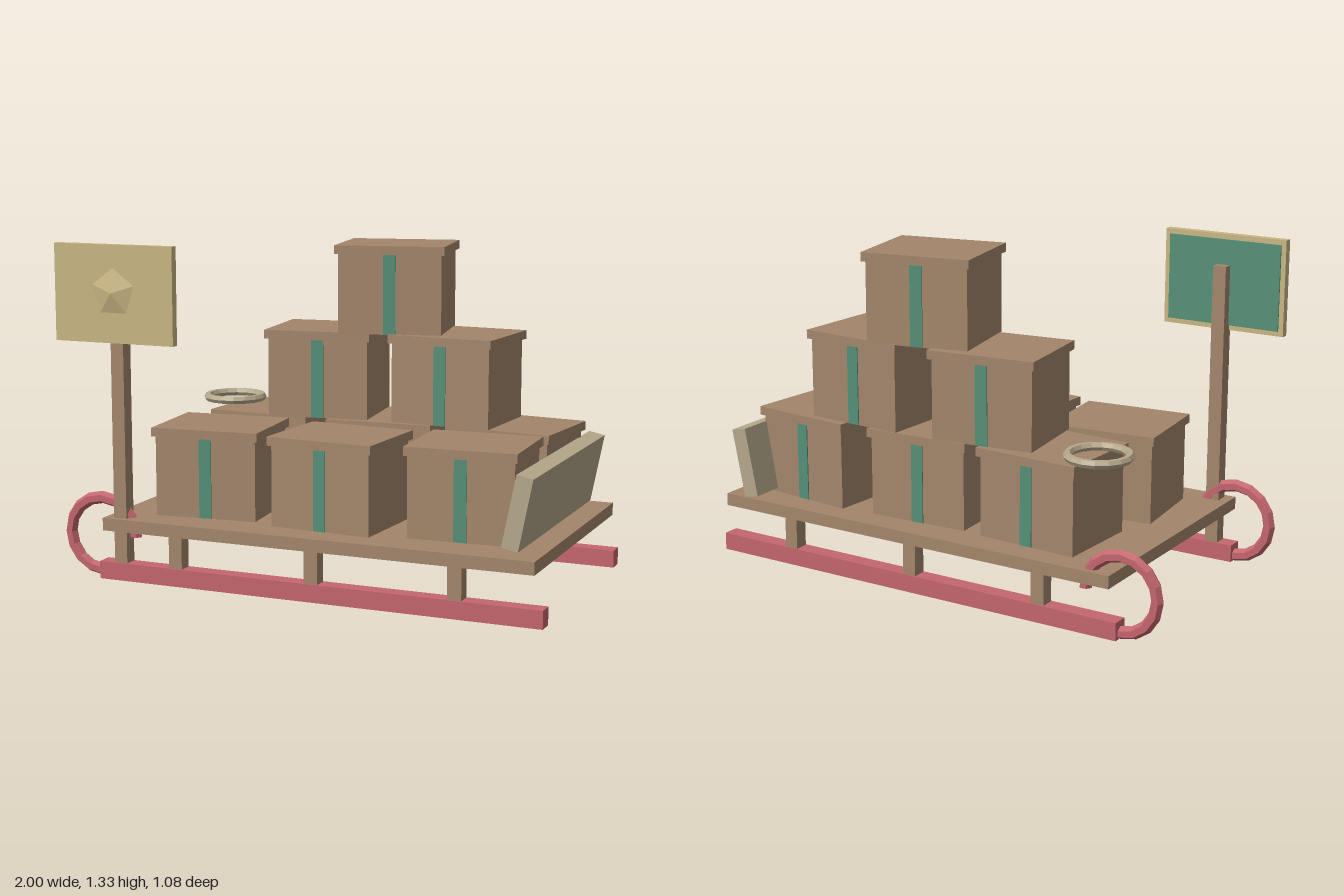
import * as THREE from 'three';

const mat = (name, color) => {
  const m = new THREE.MeshStandardMaterial({ color, flatShading: true });
  m.name = name;
  return m;
};

export function createModel() {
  const wood = mat('brown wood', 0xa3866b);
  const red = mat('red runner paint', 0xc4666e);
  const teal = mat('teal ribbon', 0x549078);
  const gold = mat('pale gold', 0xc9b683);
  const beige = mat('beige', 0xb5a88b);

  const model = new THREE.Group();
  model.name = 'giftSled';

  const add = (parent, name, geometry, material, x, y, z) => {
    const mesh = new THREE.Mesh(geometry, material);
    mesh.name = name;
    mesh.position.set(x, y, z);
    parent.add(mesh);
    return mesh;
  };
  const box = (parent, name, material, w, h, d, x, y, z) =>
    add(parent, name, new THREE.BoxGeometry(w, h, d), material, x, y, z);

  // Deck
  box(model, 'deck', wood, 1.77, 0.05, 1.06, 0.085, 0.225, -0.01);

  // Runners with struts and curled ends
  for (const [z, curlZ] of [[0.472, 0.462], [-0.492, -0.497]]) {
    box(model, 'runner', red, 1.825, 0.07, 0.066, 0.0875, 0.035, z);
    for (const x of [-0.49, 0.085, 0.66]) {
      box(model, 'strut', wood, 0.056, 0.135, 0.056, x, 0.1375, z);
    }
    const curl = add(model, 'runnerCurl',
      new THREE.TorusGeometry(0.147, 0.025, 6, 12, Math.PI * 1.5), red, -0.83, 0.173, curlZ);
    const cap = add(curl, 'curlEnd', new THREE.CircleGeometry(0.025, 6), red, 0.147, 0, 0);
    cap.rotation.x = Math.PI / 2;
  }

  // Lidded gift boxes: x, base height, z, turn
  const gifts = [
    [-0.44, 0.25, 0.195, 0.097],
    [0.09, 0.25, 0.225, -0.065],
    [0.62, 0.25, 0.18, 0.05],
    [-0.395, 0.25, -0.255, -0.05],
    [0.12, 0.25, -0.245, 0.05],
    [0.645, 0.25, -0.25, -0.1],
    [-0.155, 0.602, -0.235, 0.12],
    [0.395, 0.602, -0.25, -0.06],
    [0.135, 0.952, -0.255, 0.19],
  ];
  for (const [x, y, z, turn] of gifts) {
    const gift = new THREE.Group();
    gift.name = 'giftBox';
    gift.position.set(x, y, z);
    gift.rotation.y = turn;
    box(gift, 'boxBody', wood, 0.415, 0.32, 0.35, 0, 0.16, 0);
    box(gift, 'boxLid', wood, 0.44, 0.035, 0.38, 0, 0.335, 0);
    for (const side of [1, -1]) {
      box(gift, 'ribbon', teal, 0.05, 0.318, 0.006, 0, 0.16, side * 0.1765);
    }
    model.add(gift);
  }

  // Leaning end board
  const board = box(model, 'leaningBoard', beige, 0.066, 0.28, 0.96, 0.87, 0.396, -0.06);
  board.rotation.z = -0.195;

  // Ring resting on a box
  const ring = add(model, 'ring', new THREE.TorusGeometry(0.117, 0.017, 6, 16), beige, -0.635, 0.62, -0.325);
  ring.rotation.x = Math.PI / 2;

  // Sign: post, board, back panel and faceted boss
  box(model, 'signPost', wood, 0.055, 1.135, 0.056, -0.733, 0.6375, 0.47);
  box(model, 'signBoard', gold, 0.515, 0.38, 0.033, -0.733, 1.135, 0.5035);
  box(model, 'signBackPanel', teal, 0.475, 0.34, 0.006, -0.733, 1.135, 0.484);
  const boss = add(model, 'signBoss',
    new THREE.ConeGeometry(0.1, 0.022, 5, 1, true), gold, -0.733, 1.14, 0.53);
  boss.rotation.set(Math.PI / 2, Math.PI, 0);

  return model;
}
